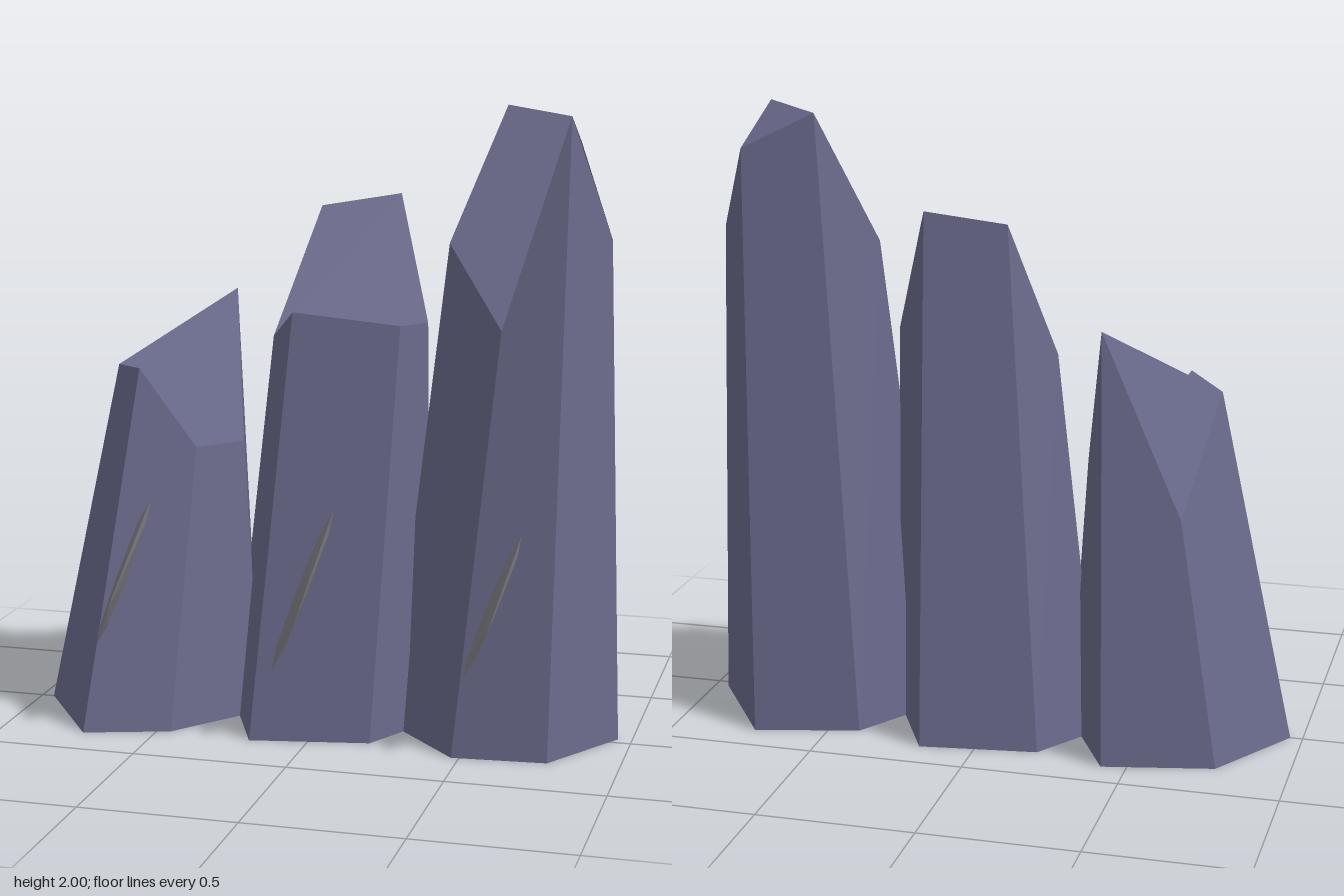
import * as THREE from 'three';

const rock = new THREE.MeshStandardMaterial({ color: 0x6a6a8c });
rock.name = 'slate violet';
const crystal = new THREE.MeshStandardMaterial({ color: 0x7c7c84 });
crystal.name = 'shard grey';

// Collects many-sided faces; each face keeps one shared normal so it reads as a single facet
function facets() {
  const positions = [], normals = [];
  return {
    add(points, triangles) {
      const sum = new THREE.Vector3();
      for (const [i, j, k] of triangles) {
        const u = points[j].clone().sub(points[i]);
        sum.add(u.cross(points[k].clone().sub(points[i])));
      }
      sum.normalize();
      for (const i of triangles.flat()) {
        positions.push(...points[i].toArray());
        normals.push(...sum.toArray());
      }
    },
    build() {
      const g = new THREE.BufferGeometry();
      g.setAttribute('position', new THREE.Float32BufferAttribute(positions, 3));
      g.setAttribute('normal', new THREE.Float32BufferAttribute(normals, 3));
      return g;
    },
  };
}

const vec = (p) => new THREE.Vector3(...p);

// Six-sided tapering pillar with a broken, uneven top
function column(base, top, capTriangles) {
  const b = base.map(([x, z]) => new THREE.Vector3(x, 0, z));
  const t = top.map(vec);
  const f = facets();
  for (let i = 0; i < 6; i++) {
    const j = (i + 1) % 6;
    f.add([b[i], b[j], t[j], t[i]], [[0, 1, 2], [0, 2, 3]]);
  }
  f.add(t, capTriangles);
  f.add(b, [[0, 2, 1], [0, 3, 2], [0, 4, 3], [0, 5, 4]]);
  return new THREE.Mesh(f.build(), rock);
}

// Flattened cone: a thin upright ellipse rooted in the pillar, tip pointing out
function shard(upper, lower, tip) {
  const a = vec(upper), c = vec(lower), apex = vec(tip);
  const mid = a.clone().add(c).multiplyScalar(0.5);
  const half = a.clone().sub(mid);
  const sides = 8, f = facets();
  const ring = Array.from({ length: sides }, (_, i) => {
    const w = (i / sides) * Math.PI * 2;
    return mid.clone().addScaledVector(half, Math.cos(w))
      .add(new THREE.Vector3(-0.02 * Math.sin(w), 0, 0));
  });
  ring.forEach((p, i) => {
    const q = ring[(i + 1) % sides];
    f.add([p, q, apex], [[0, 1, 2]]);
    f.add([q, p, mid], [[0, 1, 2]]);
  });
  return new THREE.Mesh(f.build(), crystal);
}

// Corners run left, front left, front right, right, back right, back left
const ridgeCap = [[0, 1, 2], [0, 2, 4], [2, 3, 4], [0, 4, 5]];
const peakCap = [[0, 1, 2], [0, 2, 5], [2, 3, 4], [2, 4, 5]];
const pillars = [
  {
    name: 'shortPillar',
    base: [[-0.96, 0], [-0.725, 0.345], [-0.455, 0.26], [-0.235, -0.02], [-0.42, -0.385], [-0.77, -0.31]],
    top: [[-0.72, 1.145, -0.04], [-0.59, 1.165, 0.13], [-0.41, 0.91, 0.1],
      [-0.3, 0.905, -0.065], [-0.39, 1.375, -0.3], [-0.64, 0.79, -0.275]],
    cap: ridgeCap,
    shard: [[-0.54, 0.75, 0.18], [-0.71, 0.25, 0.27], [-0.615, 0.44, 0.385]],
  },
  {
    name: 'middlePillar',
    base: [[-0.35, -0.1], [-0.185, 0.28], [0.195, 0.21], [0.335, -0.05], [0.175, -0.375], [-0.2, -0.325]],
    top: [[-0.21, 1.25, -0.11], [-0.09, 1.36, 0.09], [0.26, 1.33, 0.09],
      [0.3, 1.31, -0.13], [0.18, 1.71, -0.26], [-0.07, 1.67, -0.2]],
    cap: ridgeCap,
    shard: [[0.07, 0.75, 0.185], [-0.115, 0.23, 0.26], [0, 0.44, 0.385]],
  },
  {
    name: 'tallPillar',
    base: [[0.21, 0], [0.475, 0.28], [0.775, 0.255], [0.955, -0.035], [0.73, -0.38], [0.4, -0.3]],
    top: [[0.38, 1.575, -0.075], [0.585, 1.33, 0.11], [0.785, 1.99, 0.065],
      [0.895, 1.6, -0.085], [0.76, 1.885, -0.285], [0.525, 2, -0.27]],
    cap: peakCap,
    shard: [[0.675, 0.71, 0.2], [0.5, 0.24, 0.245], [0.605, 0.44, 0.385]],
  },
];

export function createModel() {
  const model = new THREE.Group();
  model.name = 'rockPillars';
  for (const p of pillars) {
    const group = new THREE.Group();
    group.name = p.name;
    const body = column(p.base, p.top, p.cap);
    body.name = 'column';
    const spike = shard(...p.shard);
    spike.name = 'shard';
    group.add(body, spike);
    model.add(group);
  }
  return model;
}
